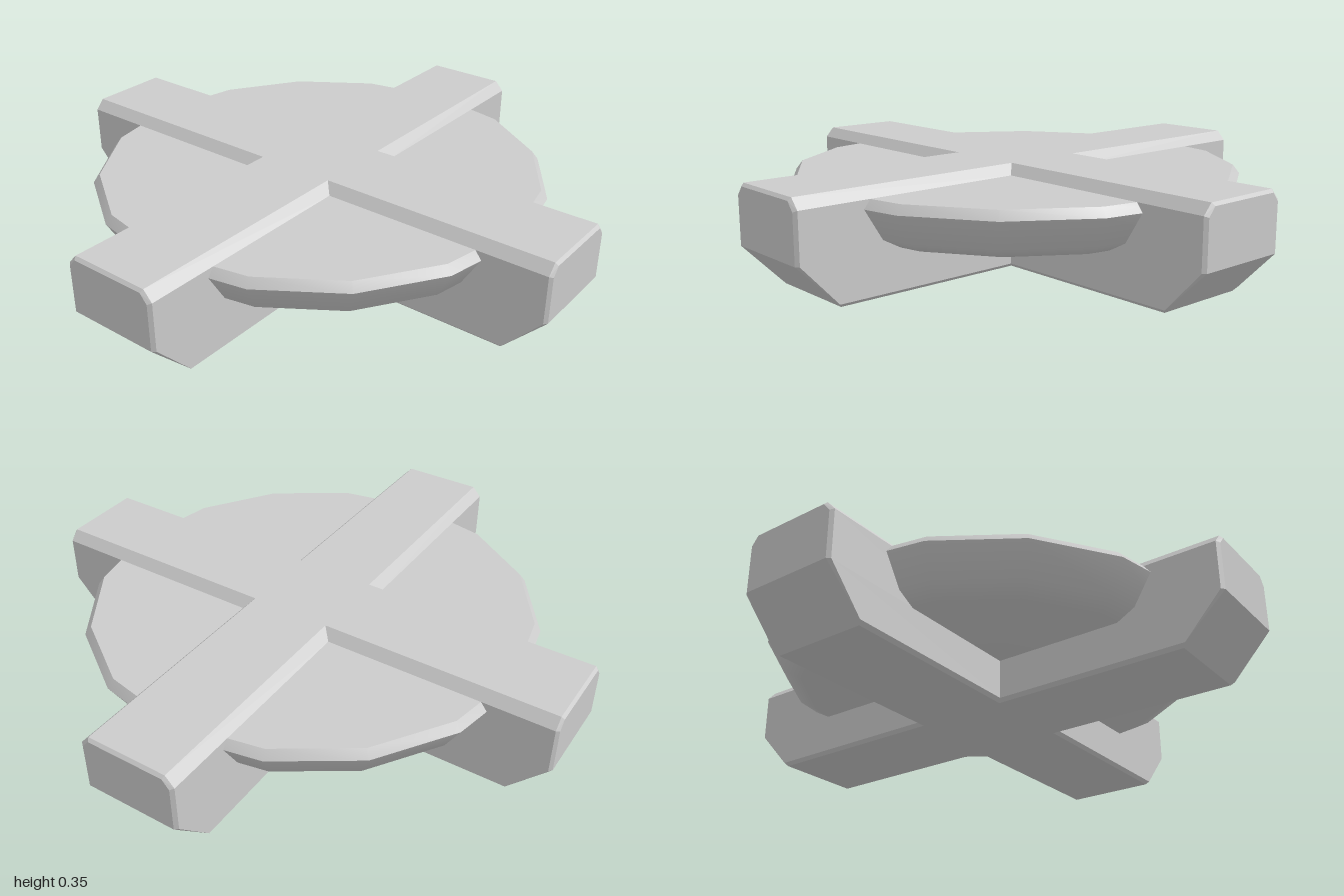
import * as THREE from 'three';
import { toCreasedNormals } from 'three/addons/utils/BufferGeometryUtils.js';

// One bevelled arm along +x, mitred at the centre so four meet as a cross
function armGeometry() {
  // half cross-section [z, y] from bottom centre round to top centre
  const section = [[0, 0], [0.165, 0], [0.177, 0.012], [0.177, 0.152], [0.177, 0.32], [0.145, 0.355], [0, 0.355]];
  const endX = [0.85, 0.85, 0.86, 0.99, 0.99, 0.99, 0.99];
  const rings = [
    section.map(([z, y]) => [z, y, z]),
    section.map(([z, y], i) => [z, y, endX[i]]),
    // inset outline of the sloped and upright end faces
    [[0, 0, 0.85], [0.165, 0, 0.85], [0.165, 0, 0.85], [0.165, 0.152, 1], [0.165, 0.315, 1], [0.14, 0.345, 1], [0, 0.345, 1]],
  ];
  const pos = [];
  const put = ([z, y, x], side) => pos.push(x, y, z * side);
  const quad = (a, b, c, d, side) => {
    const order = side > 0 ? [a, b, c, a, c, d] : [a, c, b, a, d, c];
    order.forEach((p) => put(p, side));
  };
  for (const side of [1, -1])
    for (let k = 0; k < 2; k++)
      for (let i = 0; i < 6; i++)
        quad(rings[k][i], rings[k + 1][i], rings[k + 1][i + 1], rings[k][i + 1], side);
  // end faces joining the two mirrored halves
  const flip = ([z, y, x]) => [-z, y, x];
  const end = rings[2];
  for (let i = 1; i < 5; i++) quad(flip(end[i]), flip(end[i + 1]), end[i + 1], end[i], 1);

  const geo = new THREE.BufferGeometry();
  geo.setAttribute('position', new THREE.Float32BufferAttribute(pos, 3));
  geo.computeVertexNormals();
  return geo;
}

export function createModel() {
  const group = new THREE.Group();
  const material = new THREE.MeshStandardMaterial({ color: 0xcccccc });

  // Cross-shaped base
  const cross = new THREE.Group();
  cross.name = 'crossBase';
  const geo = armGeometry();
  for (let i = 0; i < 4; i++) {
    const arm = new THREE.Mesh(geo, material);
    arm.name = `arm${i + 1}`;
    arm.rotation.y = (i * Math.PI) / 2;
    cross.add(arm);
  }
  group.add(cross);

  // Sixteen-sided dish with a chamfered rim and a rounded underside
  const profile = [[0, 0.15], [0.67, 0.15], [0.735, 0.185], [0.8, 0.29], [0.777, 0.32], [0, 0.32]]
    .map(([r, y]) => new THREE.Vector2(r, y));
  const dish = new THREE.Mesh(toCreasedNormals(new THREE.LatheGeometry(profile, 16), 0.7), material);
  dish.name = 'dish';
  group.add(dish);
  return group;
}
